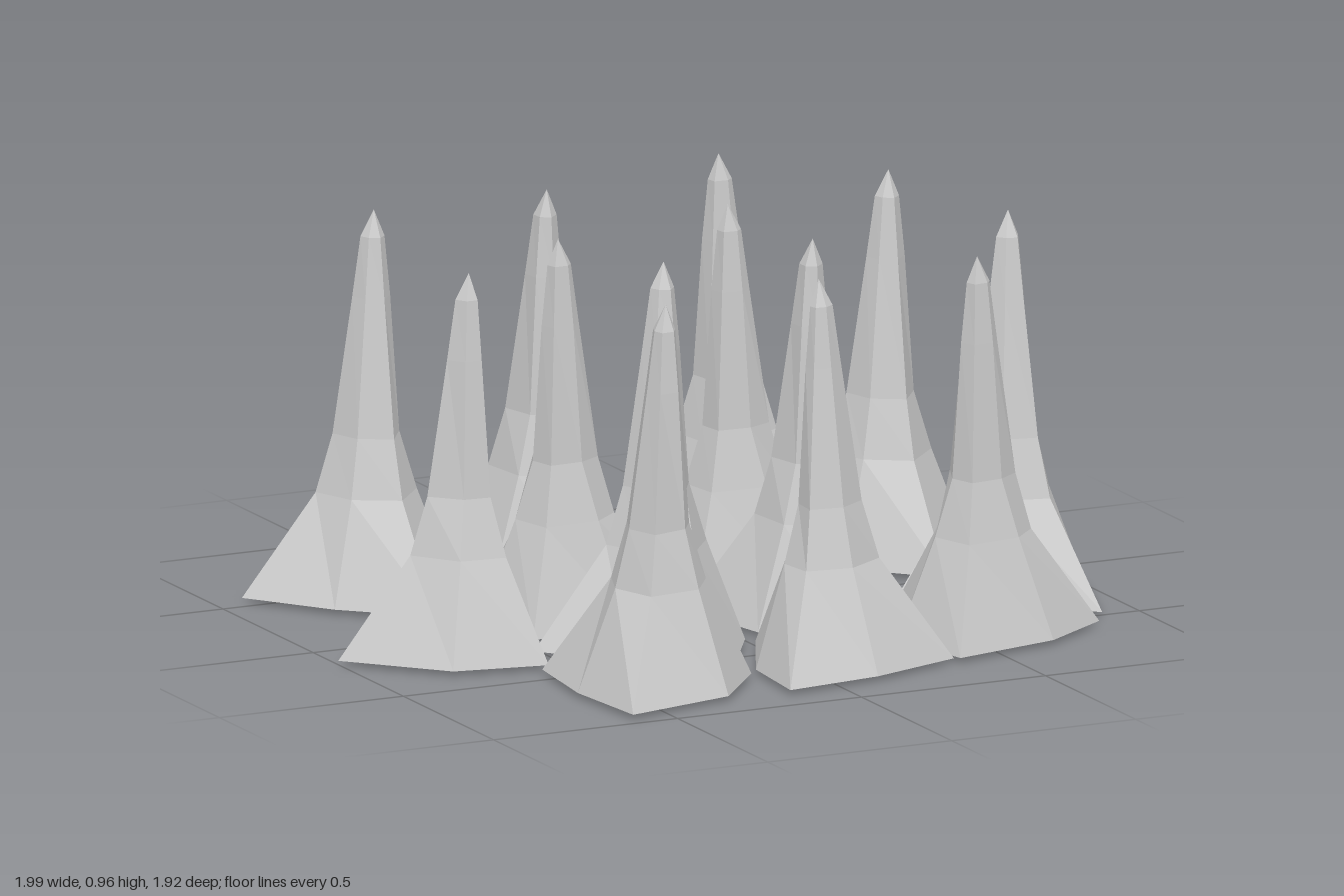
import * as THREE from 'three';

// Directions of the six base corners, in degrees from +x towards +z
const ANGLES = [-92, -40, 10, 51, 137, 204];

// Cross-sections from the underside to the tip: height, then radius at each corner
const SECTIONS = [
  [0.0, [0, 0, 0, 0, 0, 0]],
  [0.012, [0.33, 0.235, 0.335, 0.192, 0.235, 0.2]],
  [0.265, [0.148, 0.135, 0.148, 0.105, 0.11, 0.105]],
  [0.41, [0.105, 0.098, 0.105, 0.062, 0.064, 0.062]],
  [0.75, [0.055, 0.05, 0.055, 0.04, 0.038, 0.04]],
  [0.9, [0.034, 0.03, 0.034, 0.026, 0.026, 0.026]],
  [0.965, [0, 0, 0, 0, 0, 0]],
];

// Each spire: x, z, turn in degrees
const SPIRES = [
  [-0.6, -0.48, 180], [-0.13, -0.48, -47], [0.41, -0.63, 0],
  [0.71, -0.3, 183], [0.2, -0.15, 0], [-0.33, -0.01, -6],
  [-0.68, 0.21, -77], [-0.2, 0.31, 177], [0.23, 0.26, -46],
  [0.79, 0.2, 164], [-0.39, 0.71, 222], [0.06, 0.64, 118],
  [0.51, 0.6, -11],
];

function spireGeometry() {
  const count = ANGLES.length;
  const point = (section, corner) => {
    const [y, radii] = SECTIONS[section];
    const c = corner % count;
    const a = THREE.MathUtils.degToRad(ANGLES[c]);
    return [radii[c] * Math.cos(a), y, radii[c] * Math.sin(a)];
  };
  const positions = [];
  const last = SECTIONS.length - 2;
  for (let s = 0; s <= last; s++) {
    for (let c = 0; c < count; c++) {
      const a = point(s, c), b = point(s, c + 1);
      const aUp = point(s + 1, c), bUp = point(s + 1, c + 1);
      // The tip and the underside close to a single point
      if (s < last) positions.push(...a, ...aUp, ...bUp);
      if (s > 0) positions.push(...a, ...bUp, ...b);
    }
  }
  const geometry = new THREE.BufferGeometry();
  geometry.setAttribute('position', new THREE.Float32BufferAttribute(positions, 3));
  geometry.computeVertexNormals();
  return geometry;
}

export function createModel() {
  const group = new THREE.Group();
  group.name = 'spireCluster';
  const geometry = spireGeometry();
  const material = new THREE.MeshStandardMaterial({ color: 0xcccccc, flatShading: true });

  // Identical spires, each turned about its own axis
  SPIRES.forEach(([x, z, turn], i) => {
    const spire = new THREE.Mesh(geometry, material);
    spire.name = `spire${i + 1}`;
    spire.position.set(x, 0, z);
    spire.rotation.y = -THREE.MathUtils.degToRad(turn);
    group.add(spire);
  });
  return group;
}
